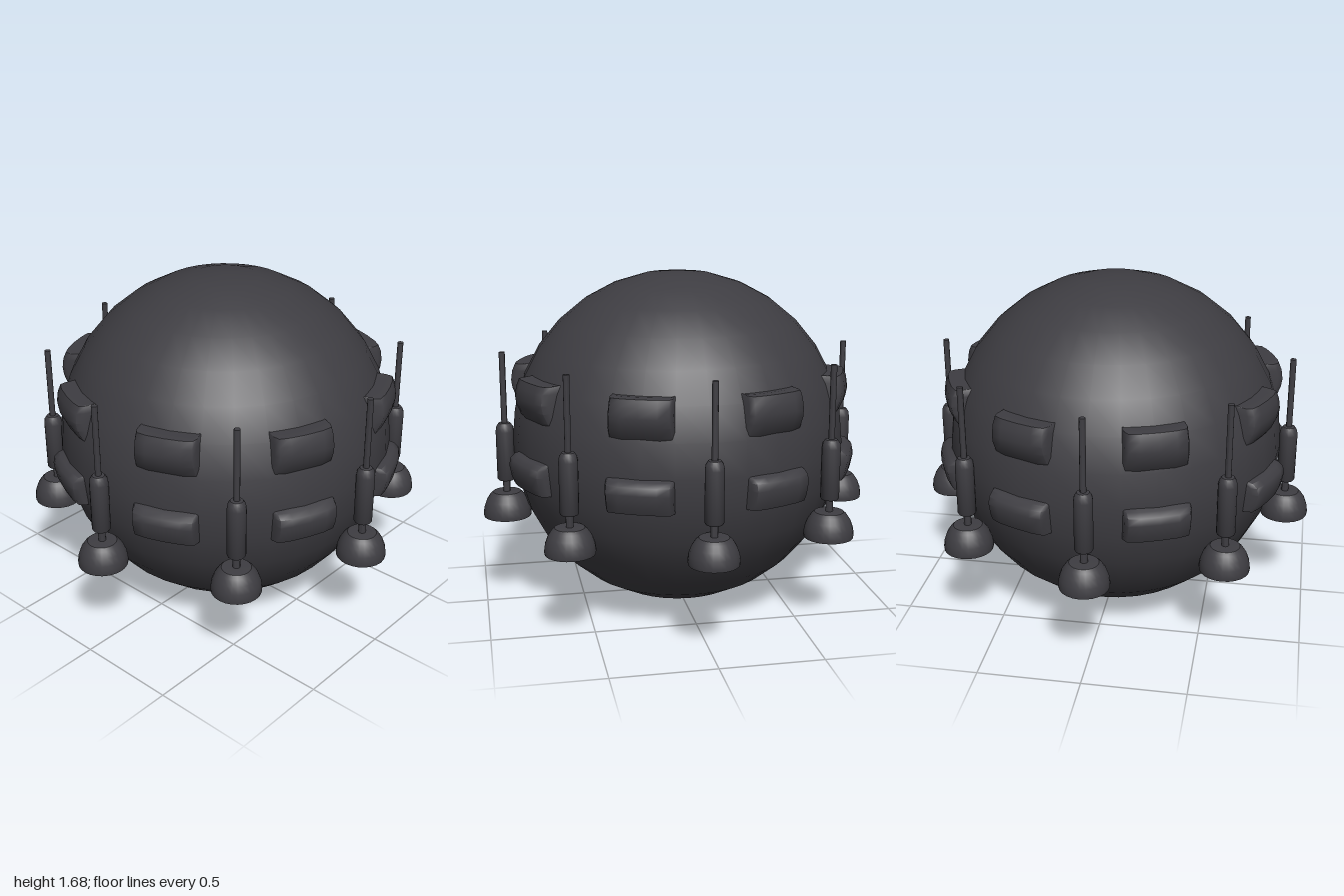
import * as THREE from 'three';
import { toCreasedNormals } from 'three/addons/utils/BufferGeometryUtils.js';

const COUNT = 8;
const LEG_RADIUS = 0.88;

// Bulge lofted across the hull from a [radius, height] side profile
function podGeometry(profile, taper) {
  const columns = [[-0.158, -0.04], [-0.146, -0.01], [-0.09, 0.002], [0, 0.006], [0.09, 0.002], [0.146, -0.01], [0.158, -0.04]];
  const positions = [];
  const indices = [];
  const rows = profile.length;
  const last = columns.length - 1;
  for (const [t, push] of columns) {
    profile.forEach(([r, y], j) => {
      const narrow = 1 - taper * j / (rows - 1);
      positions.push(t * narrow, y, r + push);
    });
  }
  // Close both ends by running them back into the hull
  for (const i of [0, last]) {
    profile.forEach(([, y], j) => {
      const narrow = 1 - taper * j / (rows - 1);
      positions.push(columns[i][0] * narrow, y, 0.7);
    });
  }
  const strip = (a, b) => {
    for (let j = 0; j < rows - 1; j++) {
      const p = a * rows + j, q = b * rows + j;
      indices.push(p, q, q + 1, p, q + 1, p + 1);
    }
  };
  for (let i = 0; i < last; i++) strip(i, i + 1);
  strip(last + 1, 0);
  strip(last, last + 2);
  const geometry = new THREE.BufferGeometry();
  geometry.setAttribute('position', new THREE.Float32BufferAttribute(positions, 3));
  geometry.setIndex(indices);
  return toCreasedNormals(geometry, 1.0);
}

function lathe(points, sides) {
  const profile = points.map(([r, y]) => new THREE.Vector2(r, y));
  return toCreasedNormals(new THREE.LatheGeometry(profile, sides), 0.7);
}

export function createModel() {
  const model = new THREE.Group();
  model.name = 'sphericalPod';
  const darkMetal = new THREE.MeshStandardMaterial({ color: 0x3e3d42 });
  darkMetal.name = 'dark metal';

  const add = (parent, name, geometry) => {
    const mesh = new THREE.Mesh(geometry, darkMetal);
    mesh.name = name;
    parent.add(mesh);
    return mesh;
  };

  // Main hull
  add(model, 'hull', new THREE.SphereGeometry(0.842, 32, 16)).position.y = 0.843;

  // Hooded bulges in two rows
  const upperBulge = podGeometry([
    [0.80, 1.0], [0.822, 1.03], [0.845, 1.08], [0.852, 1.12],
    [0.845, 1.17], [0.83, 1.205], [0.79, 1.208], [0.70, 1.2],
  ], 0.12);
  const lowerBulge = podGeometry([
    [0.70, 0.685], [0.81, 0.68], [0.865, 0.685], [0.88, 0.72],
    [0.892, 0.78], [0.885, 0.815], [0.86, 0.835], [0.81, 0.845],
  ], 0);

  // Thruster legs: rod, barrel, neck and hollow bell
  const rod = lathe([[0.015, 0.92], [0.015, 1.3], [0, 1.302]], 12);
  const barrel = lathe([
    [0, 0.648], [0.04, 0.648], [0.045, 0.656], [0.045, 0.9],
    [0.041, 0.925], [0.03, 0.942], [0, 0.946],
  ], 16);
  const neck = lathe([[0.018, 0.56], [0.018, 0.66]], 12);
  const bell = lathe([
    [0, 0.545], [0.04, 0.542], [0.065, 0.515], [0.085, 0.485], [0.093, 0.46],
    [0.119, 0.46], [0.121, 0.475], [0.116, 0.51], [0.103, 0.545],
    [0.085, 0.572], [0.07, 0.586], [0.03, 0.588], [0, 0.588],
  ], 24);

  for (let i = 0; i < COUNT; i++) {
    const angle = i * Math.PI * 2 / COUNT;

    const bulges = new THREE.Group();
    bulges.name = 'hullBulges';
    bulges.rotation.y = angle + Math.PI / COUNT;
    add(bulges, 'upperBulge', upperBulge);
    add(bulges, 'lowerBulge', lowerBulge);
    model.add(bulges);

    const leg = new THREE.Group();
    leg.name = 'thrusterLeg';
    leg.position.set(Math.sin(angle) * LEG_RADIUS, 0, Math.cos(angle) * LEG_RADIUS);
    leg.rotation.y = angle;
    add(leg, 'rod', rod);
    add(leg, 'barrel', barrel);
    add(leg, 'neck', neck);
    add(leg, 'bell', bell);
    model.add(leg);
  }
  return model;
}
